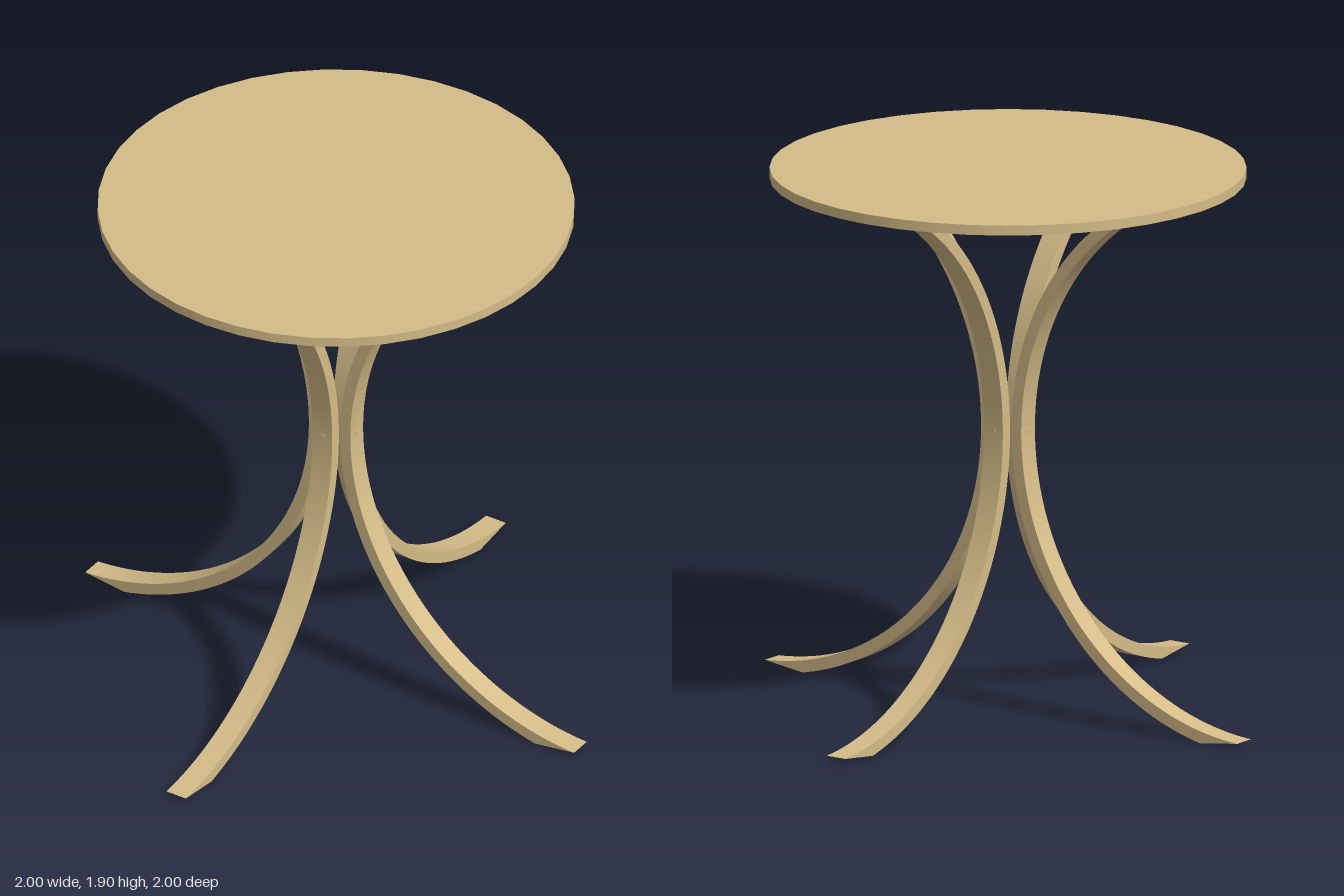
import * as THREE from 'three';
import { toCreasedNormals } from 'three/addons/utils/BufferGeometryUtils.js';

const WIDTH = 0.08;                 // leg width
const CX = 1.05, CY = 0.985;        // centre of the leg's arc
const R_BACK = 1.007, R_FRONT = 0.965;
const TOP_Y = 1.865;                // underside of the table top

// Bent strip between two concentric arcs, cut flat at the floor and the top
function legGeometry() {
  const at = (r, y) => Math.PI - Math.asin((y - CY) / r);
  const tip = Math.PI + Math.acos((CX - 1) / R_FRONT);
  const shape = new THREE.Shape();
  shape.moveTo(1, 0);
  shape.absarc(CX, CY, R_BACK, at(R_BACK, 0), at(R_BACK, TOP_Y), true);
  shape.absarc(CX, CY, R_FRONT, at(R_FRONT, TOP_Y), tip, false);
  shape.closePath();
  const geo = new THREE.ExtrudeGeometry(shape, { depth: WIDTH, bevelEnabled: false, curveSegments: 48 });
  geo.translate(0, 0, -WIDTH / 2);
  return toCreasedNormals(geo, 0.15);
}

export function createModel() {
  const model = new THREE.Group();
  model.name = 'roundTable';
  const wood = new THREE.MeshStandardMaterial({ color: 0xd5bc88 });
  wood.name = 'lightWood';

  // Round top
  const top = new THREE.Mesh(new THREE.CylinderGeometry(0.817, 0.817, 0.035, 40), wood);
  top.name = 'tableTop';
  top.position.y = TOP_Y + 0.0175;
  model.add(top);

  // Four curved legs, each with a small fixing pin at its waist
  const leg = legGeometry();
  const pin = new THREE.CylinderGeometry(0.011, 0.011, 0.046, 16).rotateZ(Math.PI / 2);
  for (let i = 0; i < 4; i++) {
    const unit = new THREE.Group();
    unit.name = `leg${i + 1}`;
    const strip = new THREE.Mesh(leg, wood);
    strip.name = 'curvedLeg';
    const peg = new THREE.Mesh(pin, wood);
    peg.name = 'fixingPin';
    peg.position.set(0.064, CY, 0);
    unit.add(strip, peg);
    unit.rotation.y = i * Math.PI / 2;
    model.add(unit);
  }
  return model;
}
